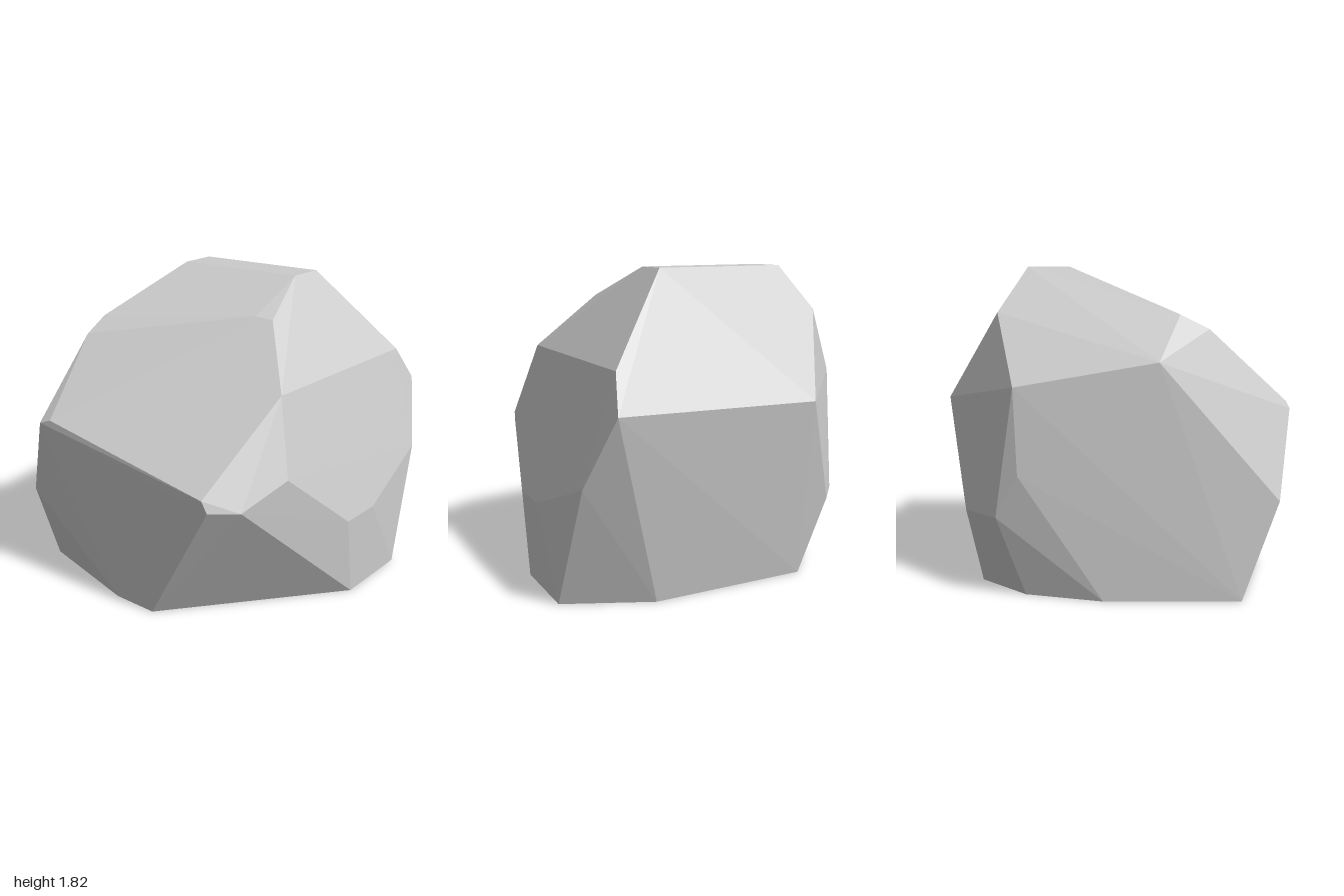
import * as THREE from 'three';
import { ConvexGeometry } from 'three/addons/geometries/ConvexGeometry.js';

// Corners of the faceted boulder, grouped by height
const flatTop = [
  [-0.55, 1.82, -0.23], [0.26, 1.82, -0.31], [0.26, 1.82, -0.53], [-0.56, 1.82, -0.46],
];
const shoulder = [
  [-0.66, 1.48, 0.55], [-0.68, 1.56, 0.39], [0.28, 1.65, 0.1], [0.39, 1.64, 0.08],
  [0.67, 1.32, 0.36], [0.67, 1.32, -0.86], [-0.71, 1.57, -0.61], [-0.83, 1.31, 0.28],
];
const waist = [
  [-0.61, 1.04, 1.0], [-0.53, 1.07, 0.99], [0.4, 0.83, 0.92], [0.57, 0.86, 0.91],
  [0.6, 0.79, 0.9], [0.71, 0.77, 0.75], [0.8, 0.89, 0.46], [0.91, 0.5, 0],
  [0.91, 0.5, -0.27], [0.85, 0.71, -0.83], [0.72, 1.11, -1.0], [-0.52, 1.08, -0.93],
  [-0.91, 1.18, -0.5], [-0.92, 0.7, -0.48], [-0.88, 0.46, -0.61], [-0.71, 0.46, -0.81],
  [-0.78, 0.55, 0.94],
];
// Flat underside as x, z pairs
const underside = [
  [0.14, 0.87], [0.9, -0.08], [0.9, -0.57], [0.4, -0.78], [-0.56, -0.75],
  [-0.8, -0.46], [-0.89, -0.02], [-0.84, 0.74], [-0.14, 0.88],
].map(([x, z]) => [x, 0, z]);

export function createModel() {
  const points = [...flatTop, ...shoulder, ...waist, ...underside]
    .map((p) => new THREE.Vector3(...p));
  const boulder = new THREE.Mesh(
    new ConvexGeometry(points),
    new THREE.MeshStandardMaterial({ color: 0xcccccc, flatShading: true }),
  );
  boulder.name = 'boulder';

  const group = new THREE.Group();
  group.name = 'rock';
  group.add(boulder);
  return group;
}
